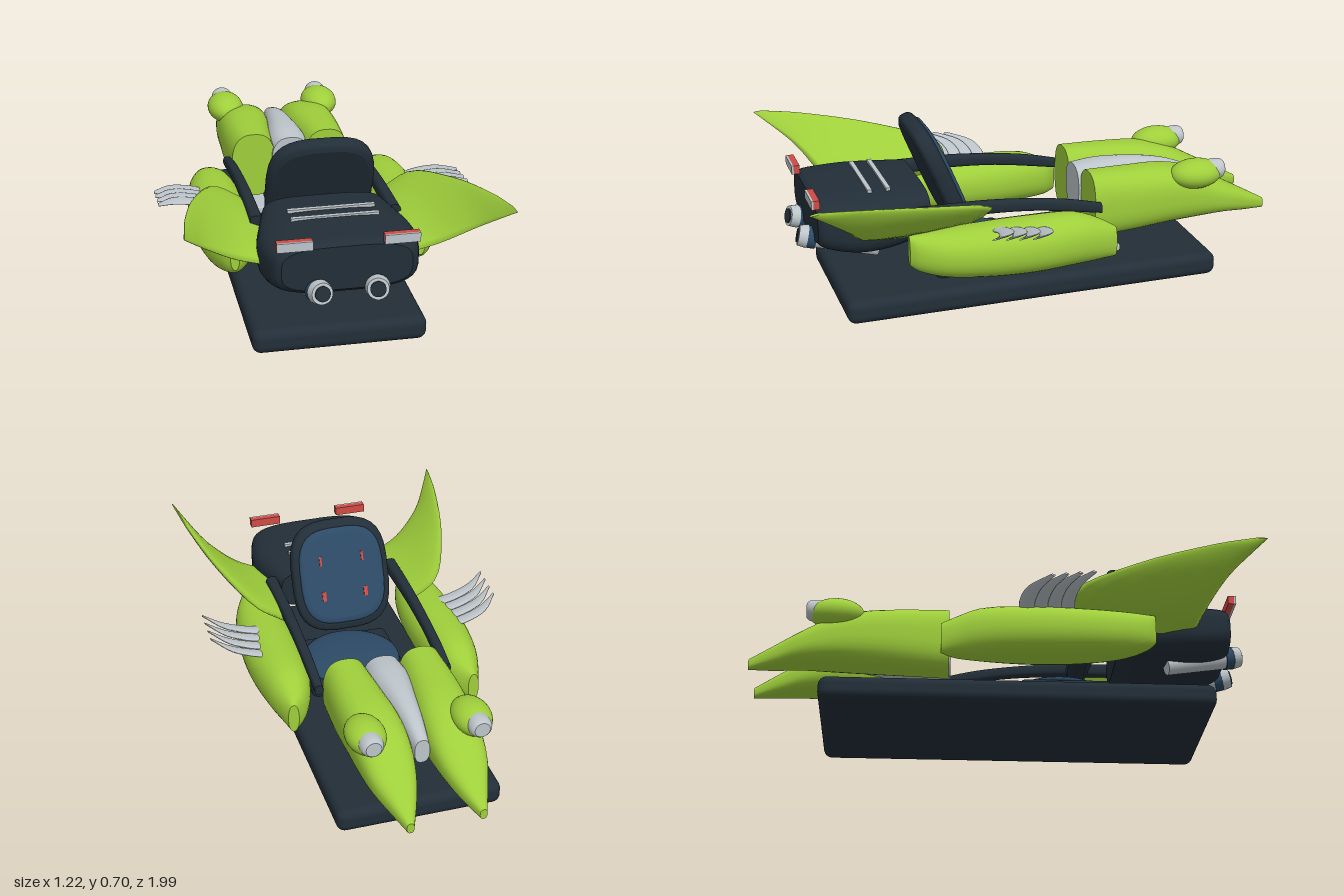
import * as THREE from 'three';
import { RoundedBoxGeometry } from 'three/addons/geometries/RoundedBoxGeometry.js';

const mat = (name, color, side = THREE.FrontSide) => {
  const m = new THREE.MeshStandardMaterial({ color, side });
  m.name = name;
  return m;
};

// Superellipse cross-section in the xy plane
function ring(z, cx, cy, rx, ry, n = 2, seg = 32) {
  const f = (v) => Math.sign(v) * Math.abs(v) ** (2 / n);
  return Array.from({ length: seg }, (_, i) => {
    const a = ((i + 0.5) / seg) * Math.PI * 2;
    return new THREE.Vector3(cx + rx * f(Math.cos(a)), cy + ry * f(Math.sin(a)), z);
  });
}

// Thin lens cross-section between a leading and a trailing point
function lens(lead, trail, thick, up, seg = 16) {
  const a = new THREE.Vector3(...lead), b = new THREE.Vector3(...trail);
  const mid = a.clone().add(b).multiplyScalar(0.5), half = b.sub(a).multiplyScalar(0.5);
  return Array.from({ length: seg }, (_, i) => {
    const t = (i / seg) * Math.PI * 2;
    return mid.clone().addScaledVector(half, Math.cos(t)).addScaledVector(up, Math.sin(t) * thick / 2);
  });
}

// Smooth skin through rings, with flat end caps; always wound outward
function loft(rings, steps = 4) {
  const n = rings[0].length, rows = (rings.length - 1) * steps;
  const curves = rings[0].map((_, i) => new THREE.CatmullRomCurve3(rings.map((r) => r[i])));
  const pts = [], index = [];
  for (let r = 0; r <= rows; r++) curves.forEach((c) => pts.push(c.getPoint(r / rows)));
  for (let r = 0; r < rows; r++) {
    for (let i = 0; i < n; i++) {
      const a = r * n + i, b = r * n + (i + 1) % n;
      index.push(a, b, a + n, b, b + n, a + n);
    }
  }
  [0, rows].forEach((r) => {
    const base = pts.length;
    const cap = pts.slice(r * n, r * n + n);
    const centre = cap.reduce((s, p) => s.add(p), new THREE.Vector3()).divideScalar(n);
    pts.push(...cap, centre);
    for (let i = 0; i < n; i++) {
      const a = base + i, b = base + (i + 1) % n;
      index.push(...(r ? [a, b, base + n] : [b, a, base + n]));
    }
  });
  let volume = 0;
  for (let i = 0; i < index.length; i += 3) {
    volume += pts[index[i]].dot(pts[index[i + 1]].clone().cross(pts[index[i + 2]]));
  }
  if (volume < 0) index.reverse();
  const g = new THREE.BufferGeometry().setFromPoints(pts);
  g.setIndex(index);
  g.computeVertexNormals();
  return g;
}

export function createModel() {
  const green = mat('lime paint', 0x9fcf3b), dark = mat('dark trim', 0x222e38);
  const blue = mat('blue upholstery', 0x2c4a66), silver = mat('silver metal', 0xbdc5ca);
  const red = mat('red accent', 0xcf4b45);
  const model = new THREE.Group();
  const add = (name, geo, m, x = 0, y = 0, z = 0, parent = model) => {
    const mesh = new THREE.Mesh(geo, m);
    mesh.name = name;
    mesh.position.set(x, y, z);
    parent.add(mesh);
    return mesh;
  };
  const box = (w, h, d) => new THREE.BoxGeometry(w, h, d);

  // Base and seat
  add('base', new RoundedBoxGeometry(0.66, 0.096, 1.53, 4, 0.035), dark, 0, 0.048, 0.05);
  add('seatPedestal', new RoundedBoxGeometry(0.42, 0.08, 0.37, 4, 0.03), dark, 0, 0.115, 0.245);
  const cushion = add('seatCushion', new THREE.SphereGeometry(1, 36, 18), blue, 0, 0.155, 0.225);
  cushion.scale.set(0.205, 0.036, 0.205);

  // Reclined backrest with padded front
  const back = new THREE.Group();
  back.name = 'backrest';
  back.position.set(0, 0.475, 0.385);
  back.rotation.x = 0.39;
  model.add(back);
  const pad = (rx, ry, d) => loft([
    ring(-d, 0, 0, rx * 0.9, ry * 0.9, 3.2), ring(-d * 0.6, 0, 0, rx, ry, 3.2),
    ring(d * 0.6, 0, 0, rx, ry, 3.2), ring(d, 0, 0, rx * 0.9, ry * 0.9, 3.2)]);
  add('backShell', pad(0.205, 0.232, 0.035), dark, 0, 0, 0, back);
  add('backPad', pad(0.178, 0.2, 0.02), blue, 0, 0, -0.03, back);
  for (const s of [-1, 1]) {
    add('upperBackSlot', box(0.009, 0.04, 0.008), red, s * 0.09, 0.07, -0.05, back);
    add('lowerBackSlot', box(0.016, 0.04, 0.008), red, s * 0.09, -0.08, -0.05, back);
  }

  // Rear body with slats on its deck
  add('rearBody', loft([
    ring(0.46, 0, 0.385, 0.235, 0.085, 4), ring(0.56, 0, 0.367, 0.265, 0.11, 3.6),
    ring(0.7, 0, 0.362, 0.295, 0.119, 3.4), ring(0.8, 0, 0.367, 0.287, 0.114, 3.4),
    ring(0.88, 0, 0.378, 0.262, 0.1, 3.4), ring(0.9, 0, 0.38, 0.24, 0.085, 3.4)]), dark);
  for (const z of [0.607, 0.68]) add('deckSlat', box(0.33, 0.012, 0.018), silver, 0, 0.481, z);

  // Central nose spine
  add('noseSpine', loft([
    ring(-0.71, 0, 0.32, 0.03, 0.05, 2.5), ring(-0.6, 0, 0.335, 0.045, 0.075, 2.5),
    ring(-0.45, 0, 0.335, 0.065, 0.1, 2.5), ring(-0.3, 0, 0.335, 0.085, 0.105, 2.5),
    ring(-0.205, 0, 0.335, 0.078, 0.095, 2.5)]), silver);

  const forward = new THREE.Vector3(0, 1, 0);
  for (const s of [-1, 1]) {
    // Nose pod: z, centre x, centre y, half width, half height
    add('nosePod', loft([
      [-1, 0.14, 0.212, 0.014, 0.021], [-0.9, 0.138, 0.243, 0.054, 0.045],
      [-0.8, 0.14, 0.275, 0.088, 0.067], [-0.68, 0.14, 0.305, 0.107, 0.1],
      [-0.55, 0.142, 0.318, 0.111, 0.12], [-0.4, 0.15, 0.317, 0.105, 0.13],
      [-0.215, 0.155, 0.313, 0.092, 0.138],
    ].map(([z, x, y, rx, ry]) => ring(z, s * x, y, rx, ry, 2.6))), green);

    // Eye pod and lamp
    const eye = add('eyePod', new THREE.SphereGeometry(1, 28, 18), green, s * 0.208, 0.408, -0.66);
    eye.scale.set(0.077, 0.06, 0.11);
    add('eyeLamp', loft([
      ring(-0.778, s * 0.21, 0.42, 0.03, 0.03), ring(-0.768, s * 0.21, 0.42, 0.041, 0.038),
      ring(-0.74, s * 0.21, 0.418, 0.047, 0.043), ring(-0.71, s * 0.21, 0.416, 0.045, 0.042)]), silver);

    // Side pod
    add('sidePod', loft([
      [-0.25, 0.375, 0.235, 0.022, 0.062], [-0.2, 0.36, 0.245, 0.055, 0.08],
      [-0.1, 0.355, 0.262, 0.09, 0.102], [0.1, 0.357, 0.263, 0.113, 0.109],
      [0.3, 0.355, 0.266, 0.11, 0.103], [0.46, 0.355, 0.274, 0.085, 0.09],
      [0.55, 0.356, 0.288, 0.045, 0.072], [0.58, 0.357, 0.3, 0.018, 0.06],
    ].map(([z, x, y, rx, ry]) => ring(z, s * x, y, rx, ry, 2.2))), green);

    // Swept fin: leading point, trailing point, thickness
    const finUp = new THREE.Vector3(-s * 0.5, 0.86, 0);
    add('fin', loft([
      [[0.275, 0.375, 0.25], [0.26, 0.34, 0.75], 0.07],
      [[0.38, 0.445, 0.26], [0.375, 0.385, 0.78], 0.06],
      [[0.49, 0.515, 0.49], [0.49, 0.47, 0.85], 0.04],
      [[0.565, 0.573, 0.8], [0.56, 0.55, 0.945], 0.02],
      [[0.585, 0.592, 0.95], [0.59, 0.588, 0.993], 0.008],
    ].map(([l, t, th]) => lens([s * l[0], l[1], l[2]], [s * t[0], t[1], t[2]], th, finUp))), green);

    // Gill blades on the side pod
    for (let i = 0; i < 4; i++) {
      const z = i * 0.052, y = i * 0.006;
      add('gillBlade', loft([
        [0.39, 0.335, 0.05, 0.11, 0.02], [0.46, 0.355, 0.045, 0.105, 0.018],
        [0.54, 0.375, 0.07, 0.125, 0.014], [0.61, 0.394, 0.155, 0.172, 0.008],
      ].map(([x, h, z0, z1, th]) => lens([s * x, h + y + 0.004, z0 + z], [s * x, h + y, z1 + z], th, forward))), silver);
    }

    // Arm rail from rear body to nose
    add('armRail', loft([
      [-0.23, 0.335, 0.017], [-0.1, 0.362, 0.02], [0.05, 0.385, 0.02],
      [0.25, 0.4, 0.022], [0.52, 0.4, 0.025],
    ].map(([z, y, r]) => ring(z, s * 0.265, y, r, r * 1.2, 3, 20))), dark);

    // Foot pedal
    add('pedal', new RoundedBoxGeometry(0.09, 0.03, 0.155, 2, 0.008), silver, s * 0.14, 0.111, -0.272);

    // Tail lamp with silver face
    add('tailLamp', box(0.13, 0.035, 0.024), red, s * 0.195, 0.489, 0.905);
    add('tailLampFace', box(0.13, 0.035, 0.008), silver, s * 0.195, 0.489, 0.921);

    // Slanted exhaust pipe
    const pipe = new THREE.Group();
    pipe.name = 'exhaust';
    pipe.position.set(s * 0.15, 0.238, 0.65);
    pipe.quaternion.setFromUnitVectors(forward, new THREE.Vector3(-s * 0.05, 0.075, 0.31).normalize());
    model.add(pipe);
    add('exhaustPipe', new THREE.CylinderGeometry(0.04, 0.033, 0.26, 12), silver, 0, 0.13, 0, pipe);
    add('exhaustBand', new THREE.CylinderGeometry(0.044, 0.044, 0.035, 20), blue, 0, 0.265, 0, pipe);
    add('exhaustRim', new THREE.CylinderGeometry(0.04, 0.046, 0.035, 20), silver, 0, 0.298, 0, pipe);
    add('exhaustBore', new THREE.CylinderGeometry(0.029, 0.029, 0.008, 20), dark, 0, 0.317, 0, pipe);
  }
  return model;
}
